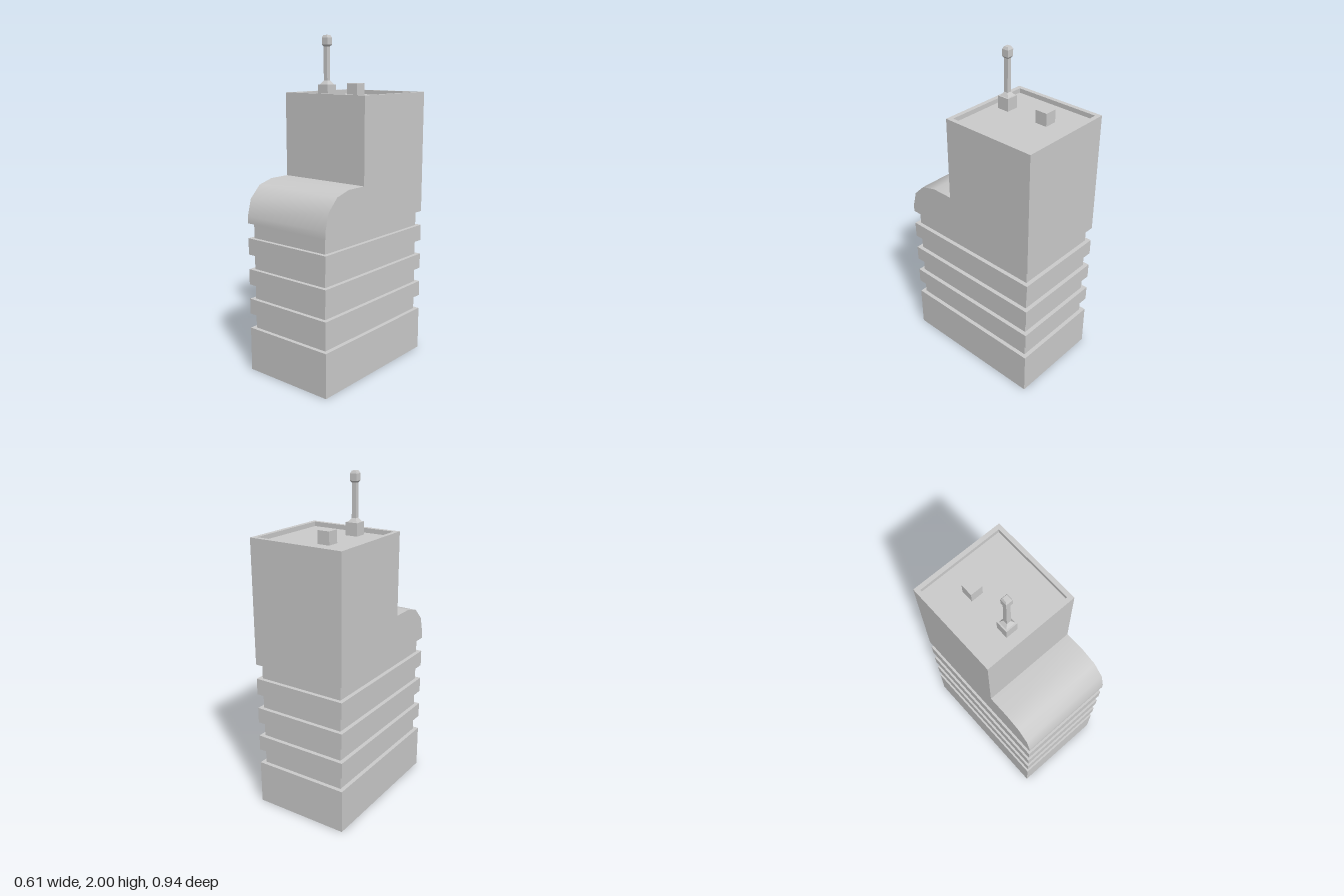
import * as THREE from 'three';

const HW = 0.299, HD = 0.465;        // half width and half depth of the tower
const STEP_Z = 0.13;                 // front of the upper block
const WAIST = 0.92, SHELF = 1.163, ROOF = 1.667, DECK = 1.64;

const flat = new THREE.MeshStandardMaterial({ color: 0xcccccc, flatShading: true, side: THREE.DoubleSide });
const smooth = new THREE.MeshStandardMaterial({ color: 0xcccccc, side: THREE.DoubleSide });

// Horizontal rectangle, counter-clockwise seen from above
const rect = (hw, back, front, y) => [[-hw, y, front], [hw, y, front], [hw, y, back], [-hw, y, back]];

// Horizontal line across the tower
const line = ([z, y]) => [[-HW, y, z], [HW, y, z]];

// Skin joining successive rows of points
function loft(rows, closed) {
  const n = rows[0].length, index = [];
  for (let i = 0; i < rows.length - 1; i++) {
    for (let j = 0; j < (closed ? n : n - 1); j++) {
      const k = (j + 1) % n;
      const a = i * n + j, b = i * n + k, c = b + n, d = a + n;
      index.push(a, b, c, a, c, d);
    }
  }
  const geometry = new THREE.BufferGeometry();
  geometry.setAttribute('position', new THREE.Float32BufferAttribute(rows.flat(2), 3));
  geometry.setIndex(index);
  geometry.computeVertexNormals();
  return geometry;
}

export function createModel() {
  const model = new THREE.Group();
  model.name = 'tower';
  const add = (name, geometry, material = flat) => {
    const mesh = new THREE.Mesh(geometry, material);
    mesh.name = name;
    model.add(mesh);
    return mesh;
  };

  // Banded lower storeys: open underneath, with recessed window strips
  const rows = [];
  const bands = [[0, 0.27], [0.36, 0.455], [0.545, 0.64], [0.73, 0.83]];
  bands.forEach(([low, high], i) => {
    const next = i < 3 ? bands[i + 1][0] : WAIST;
    for (const [inset, y] of [[0, low], [0, high], [0.025, high], [0.025, next]]) {
      rows.push(rect(HW - inset, -HD + inset, HD - inset, y));
    }
  });
  rows.push(rect(HW, -HD, HD, WAIST));
  add('bandedStoreys', loft(rows, true));

  // Rounded shoulder over the front
  const radius = 0.2, shoulder = [[HD, WAIST]];
  for (let i = 0; i <= 3; i++) {
    const a = i * Math.PI / 6;
    shoulder.push([HD - radius + radius * Math.cos(a), SHELF - radius + radius * Math.sin(a)]);
  }
  shoulder.push([STEP_Z, SHELF]);
  add('roundedShoulder', loft(shoulder.map(line)), smooth);

  // Upper block walls
  add('upperFrontWall', loft([[STEP_Z, SHELF], [STEP_Z, ROOF]].map(line)));
  add('backWall', loft([[-HD, ROOF], [-HD, WAIST]].map(line)));
  const outline = [...shoulder, [STEP_Z, ROOF], [-HD, ROOF], [-HD, WAIST]];
  for (const side of [-1, 1]) {
    const shape = new THREE.Shape(outline.map(([z, y]) => new THREE.Vector2(-side * z, y)));
    const wall = new THREE.ShapeGeometry(shape).rotateY(side * Math.PI / 2).translate(side * HW, 0, 0);
    add(side > 0 ? 'leftWall' : 'rightWall', wall);
  }

  // Parapet and sunken roof deck
  const rim = 0.027;
  add('parapet', loft([
    rect(HW, -HD, STEP_Z, ROOF),
    rect(HW - rim, -HD + rim, STEP_Z - rim, ROOF),
    rect(HW - rim, -HD + rim, STEP_Z - rim, DECK),
  ], true));
  const deckDepth = STEP_Z + HD - 2 * rim;
  add('roofDeck', new THREE.PlaneGeometry(2 * (HW - rim), deckDepth).rotateX(-Math.PI / 2))
    .position.set(0, DECK, (STEP_Z - HD) / 2);

  // Roof box and antenna base
  const size = 0.076;
  for (const [name, z] of [['roofBox', -0.257], ['antennaBase', 0.018]]) {
    add(name, new THREE.BoxGeometry(size, size, size)).position.set(-0.069, DECK + size / 2, z);
  }

  // Square antenna: flared foot, mast and chamfered cap
  const profile = [
    [0.03, 1.715], [0.0135, 1.738], [0.0135, 1.935], [0.021, 1.945],
    [0.021, 1.985], [0.014, 2], [0, 2],
  ].map(([half, y]) => new THREE.Vector2(half * Math.SQRT2, y));
  add('antenna', new THREE.LatheGeometry(profile, 4, Math.PI / 4)).position.set(-0.069, 0, 0.018);

  // The tower stands very slightly turned
  model.rotation.y = 0.0132;
  return model;
}
